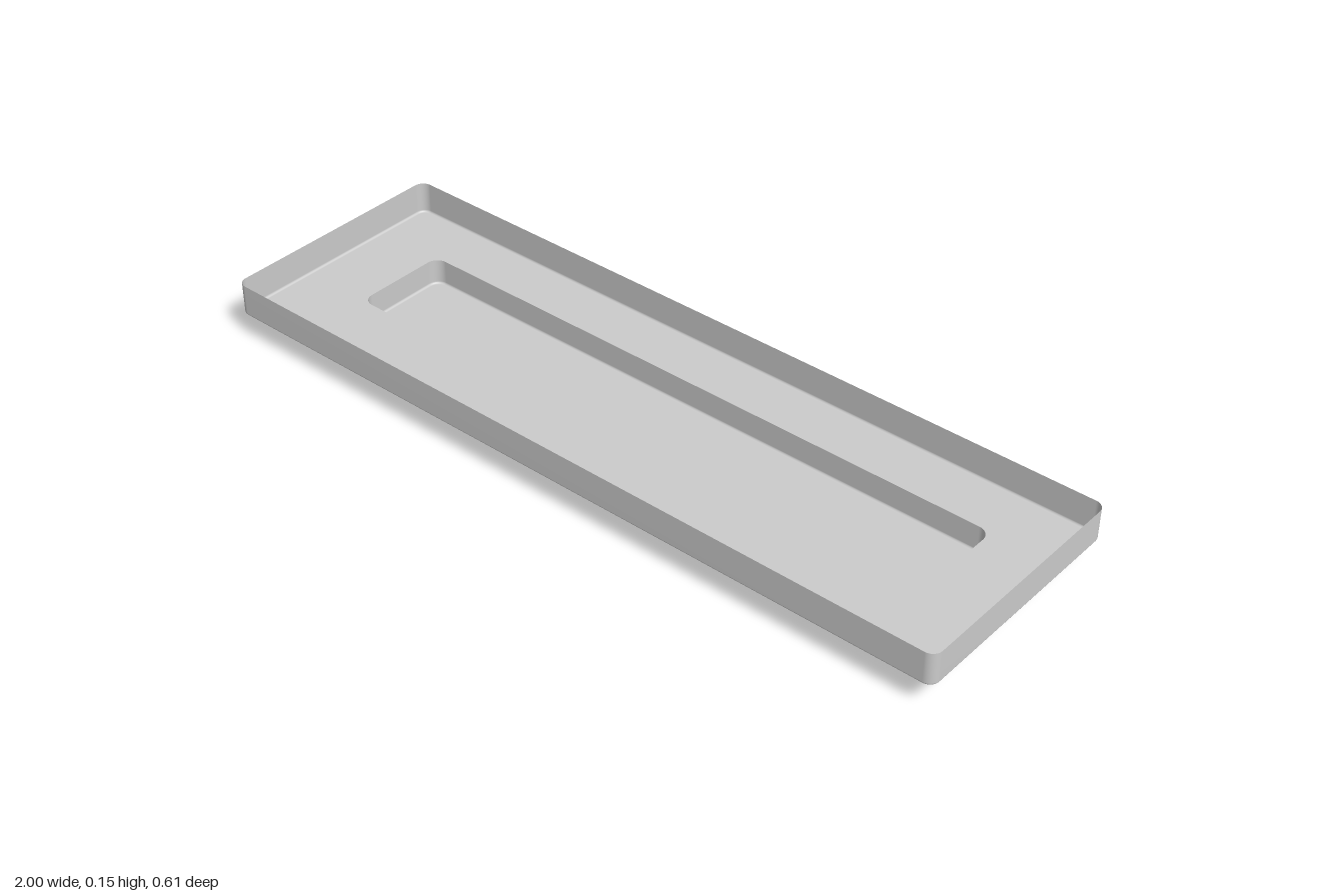
import * as THREE from 'three';

const CORNER_STEPS = 8;

// Points of a horizontal rounded rectangle: half width, half depth, corner radius
function roundedRing({ w, d, r, y, z = 0 }) {
  const points = [];
  [[1, 1], [-1, 1], [-1, -1], [1, -1]].forEach(([sx, sz], corner) => {
    for (let i = 0; i <= CORNER_STEPS; i++) {
      const a = (corner + i / CORNER_STEPS) * Math.PI / 2;
      points.push(sx * (w - r) + r * Math.cos(a), y, z + sz * (d - r) + r * Math.sin(a));
    }
  });
  return points;
}

// Skin joining a stack of rings, listed from the top outside to the inside
function loft(rings) {
  const n = 4 * (CORNER_STEPS + 1);
  const index = [];
  for (let k = 0; k < rings.length - 1; k++) {
    for (let i = 0; i < n; i++) {
      const a = k * n + i, b = k * n + (i + 1) % n;
      index.push(a, b, a + n, b, b + n, a + n);
    }
  }
  const geometry = new THREE.BufferGeometry();
  geometry.setAttribute('position', new THREE.Float32BufferAttribute(rings.flatMap(roundedRing), 3));
  geometry.setIndex(index);
  geometry.computeVertexNormals();
  return geometry;
}

// Upright wall whose lower edge turns inward through a small fillet
function filletedWall({ w, d, r, z = 0 }, top, bottom, fillet) {
  const rings = [{ w, d, r, z, y: top }];
  for (let i = 0; i <= 5; i++) {
    const a = i / 5 * Math.PI / 2;
    const inset = fillet * (1 - Math.cos(a));
    rings.push({ w: w - inset, d: d - inset, r: r - inset, z, y: bottom + fillet * (1 - Math.sin(a)) });
  }
  return rings;
}

export function createModel() {
  const group = new THREE.Group();
  const material = new THREE.MeshStandardMaterial({ color: 0xcccccc, side: THREE.DoubleSide });
  const floorY = 0.067;
  const tray = { w: 1, d: 0.307, r: 0.025 };
  const well = { w: 0.817, d: 0.125, r: 0.03, z: -0.042 };

  const add = (name, rings) => {
    const mesh = new THREE.Mesh(loft(rings), material);
    mesh.name = name;
    group.add(mesh);
  };

  // Shallow outer tray: rim wall and floor, open over the well
  add('tray', [...filletedWall(tray, 0.15, floorY, 0.006), { ...well, y: floorY }]);

  // Sunken well with a closed bottom
  add('well', [
    ...filletedWall(well, floorY, 0, 0.006),
    { w: 0.7, d: 0, r: 0, z: well.z, y: 0 },
  ]);

  return group;
}
